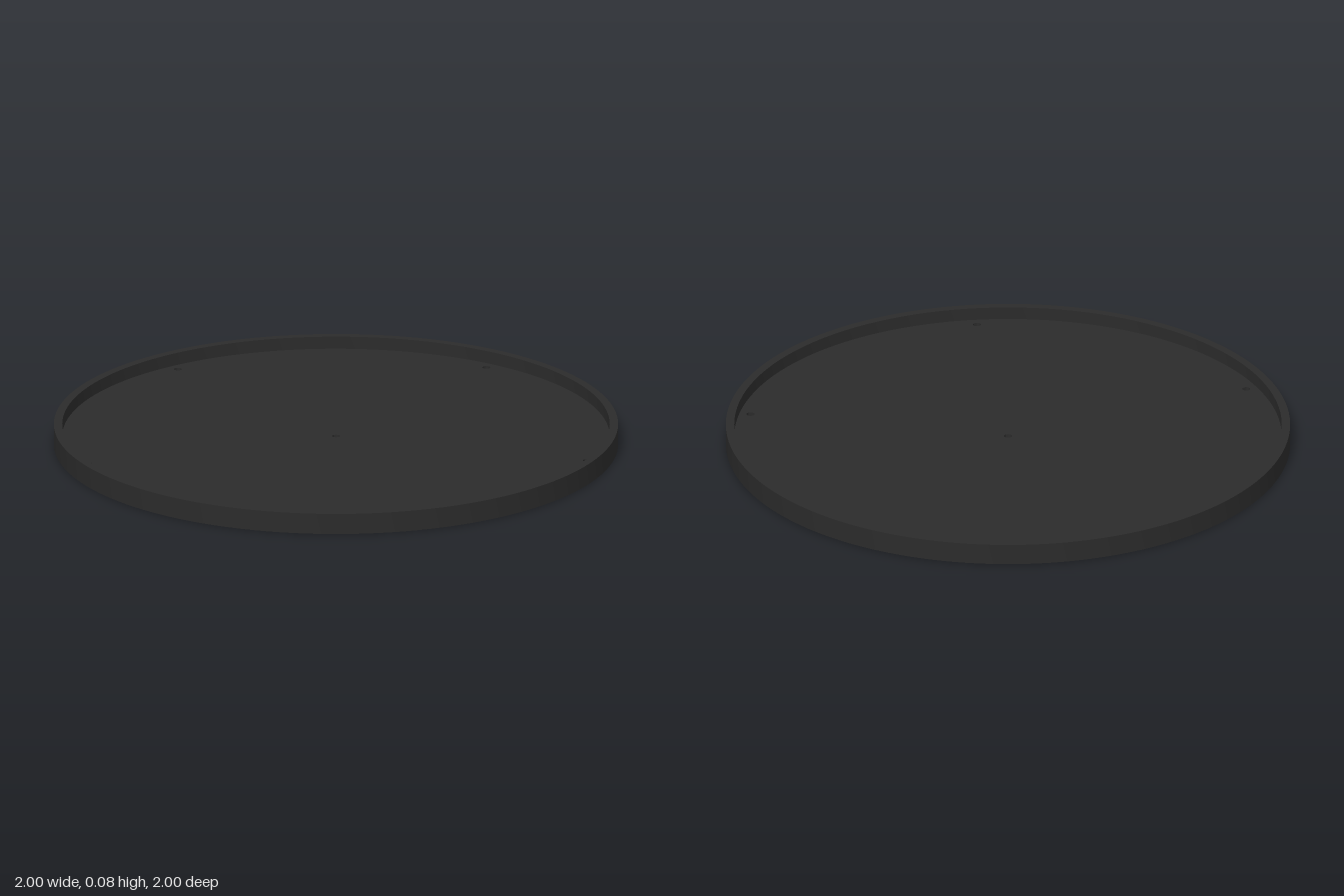
import * as THREE from 'three';
import { toCreasedNormals } from 'three/addons/utils/BufferGeometryUtils.js';

const RIM_OUTER = 1, RIM_INNER = 0.97, HEIGHT = 0.075, FLOOR = 0.03;
const HOLE_RADIUS = 0.014, HOLE_CIRCLE = 0.93, HOLE_COUNT = 5;

export function createModel() {
  const group = new THREE.Group();
  group.name = 'roundTray';
  const material = new THREE.MeshStandardMaterial({ color: 0x2b2b2b });

  const add = (name, geometry) => {
    const mesh = new THREE.Mesh(toCreasedNormals(geometry, 0.6), material);
    mesh.name = name;
    group.add(mesh);
    return mesh;
  };

  // Floor plate with a centre hole and a ring of drain holes
  const plate = new THREE.Shape().absarc(0, 0, RIM_INNER, 0, Math.PI * 2);
  const drill = (x, y) =>
    plate.holes.push(new THREE.Path().absarc(x, y, HOLE_RADIUS, 0, Math.PI * 2, true));
  drill(0, 0);
  for (let i = 0; i < HOLE_COUNT; i++) {
    const a = (i / HOLE_COUNT) * Math.PI * 2;
    drill(HOLE_CIRCLE * Math.cos(a), HOLE_CIRCLE * Math.sin(a));
  }
  const floor = new THREE.ExtrudeGeometry(plate, { depth: FLOOR, bevelEnabled: false, curveSegments: 64 });
  floor.rotateX(-Math.PI / 2);
  add('floor', floor);

  // Upright rim: underside, outer wall, flat top and inner wall
  const profile = [
    [RIM_INNER, 0], [RIM_OUTER, 0], [RIM_OUTER, HEIGHT], [RIM_INNER, HEIGHT], [RIM_INNER, FLOOR],
  ].map(([r, y]) => new THREE.Vector2(r, y));
  add('rim', new THREE.LatheGeometry(profile, 128));

  return group;
}
